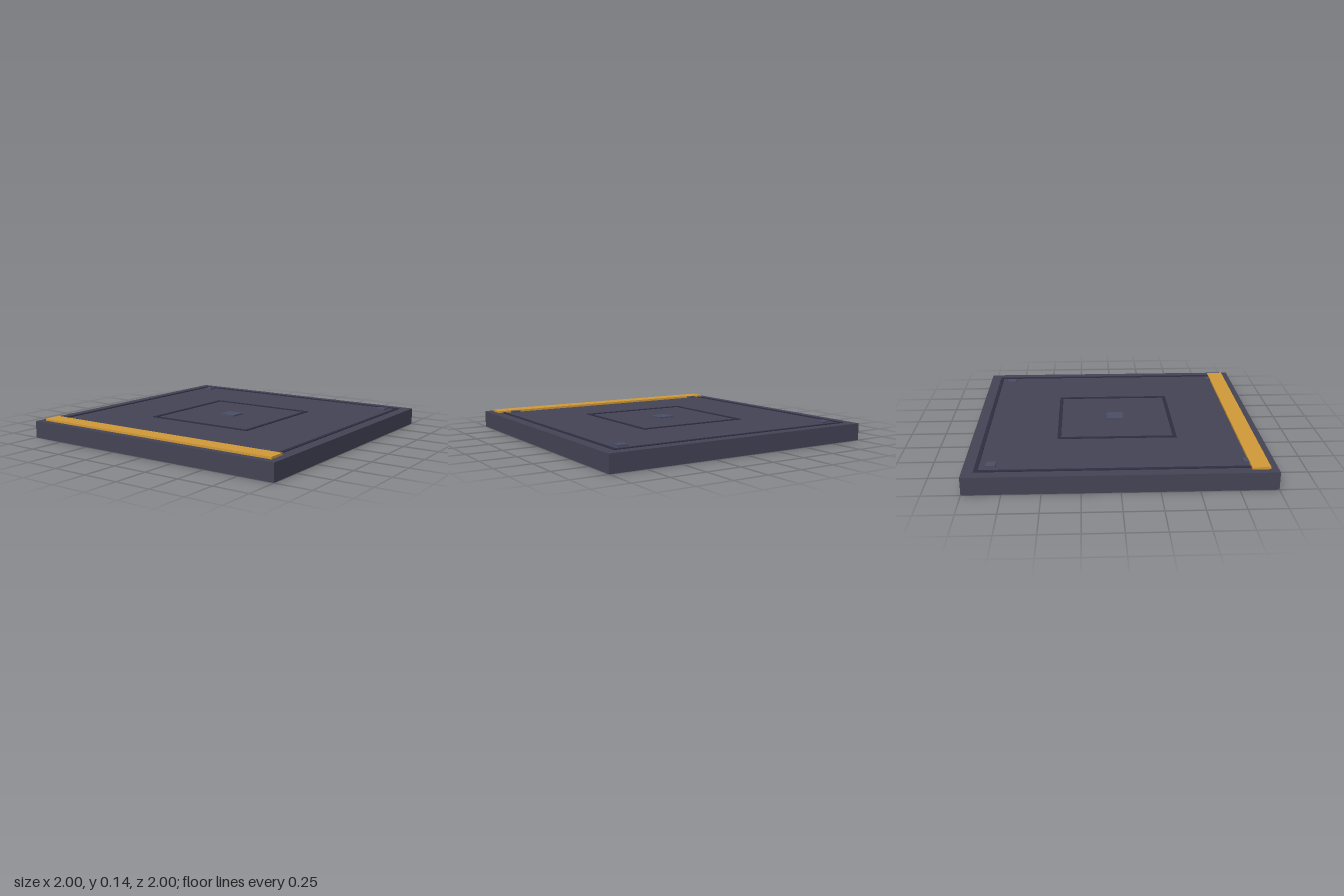
import * as THREE from 'three';

const SLAB_TOP = 0.12;
const material = (color) => new THREE.MeshStandardMaterial({ color });

export function createModel() {
  const model = new THREE.Group();
  model.name = 'floorTile';

  const slabMaterial = material(0x444456);
  const grooveMaterial = material(0x2e2e42);
  const plateMaterial = material(0x4a4e66);
  const stripeMaterial = material(0xd29a38);

  // Box whose bottom rests at height y
  function addBox(name, mat, [w, h, d], [x, y, z], parent = model) {
    const mesh = new THREE.Mesh(new THREE.BoxGeometry(w, h, d), mat);
    mesh.name = name;
    mesh.position.set(x, y + h / 2, z);
    parent.add(mesh);
  }

  // Thin square outline on the slab, made of four strips
  function addFrame(name, half, width) {
    const frame = new THREE.Group();
    frame.name = name;
    const mid = half - width / 2;
    for (const s of [-1, 1]) {
      addBox('crossStrip', grooveMaterial, [half * 2, 0.005, width], [0, SLAB_TOP, s * mid], frame);
      addBox('sideStrip', grooveMaterial, [width, 0.005, 2 * (half - width)], [s * mid, SLAB_TOP, 0], frame);
    }
    model.add(frame);
  }

  addBox('slab', slabMaterial, [2, SLAB_TOP, 2], [0, 0, 0]);
  addFrame('outerFrame', 0.925, 0.025);
  addFrame('innerFrame', 0.413, 0.025);

  // Centre plate and corner bolts
  addBox('centrePlate', plateMaterial, [0.12, 0.01, 0.12], [0, SLAB_TOP, 0]);
  for (const x of [-1, 1]) {
    for (const z of [-1, 1]) {
      addBox('cornerBolt', plateMaterial, [0.065, 0.012, 0.065], [x * 0.825, SLAB_TOP, z * 0.825]);
    }
  }

  // Warning stripe along the right edge
  addBox('edgeStripe', stripeMaterial, [0.12, 0.015, 1.9], [-0.89, SLAB_TOP, 0]);

  return model;
}
